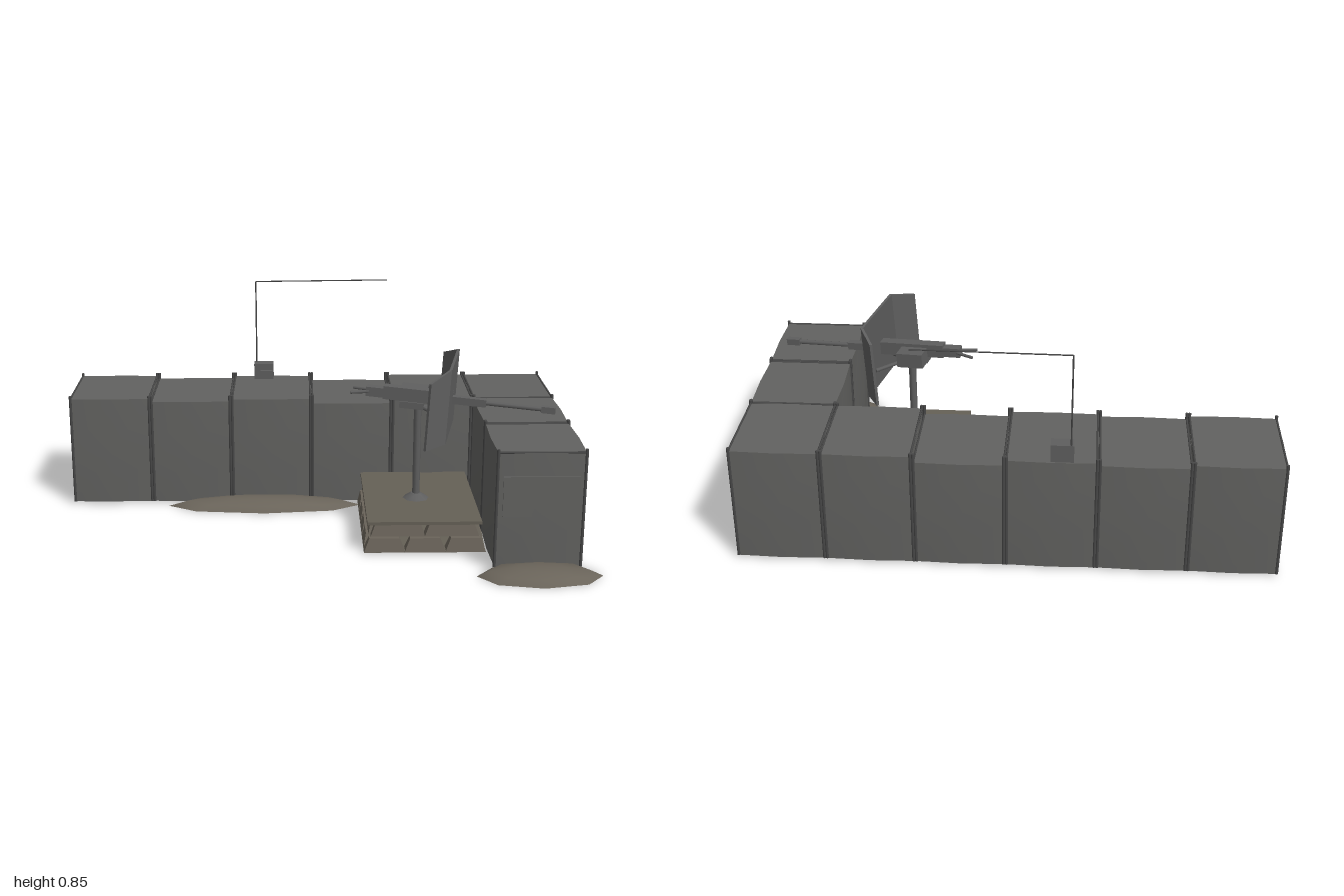
import * as THREE from 'three';
import { toCreasedNormals } from 'three/addons/utils/BufferGeometryUtils.js';

const paint = (color) => new THREE.MeshStandardMaterial({ color, side: THREE.DoubleSide });
const fabric = paint(0x626260);
const earth = paint(0x6a645a);
const timber = paint(0x656056);
const metal = paint(0x5e5e5e);
const wire = paint(0x484848);

function add(parent, name, geometry, mat, x = 0, y = 0, z = 0) {
  const mesh = new THREE.Mesh(geometry, mat);
  mesh.name = name;
  mesh.position.set(x, y, z);
  parent.add(mesh);
  return mesh;
}

const box = (parent, name, mat, w, h, d, x, y, z) => add(parent, name, new THREE.BoxGeometry(w, h, d), mat, x, y, z);

// Round bar between two points
function rod(parent, name, mat, a, b, radius, sides = 6) {
  const from = new THREE.Vector3(...a), to = new THREE.Vector3(...b);
  const dir = to.clone().sub(from);
  const mesh = add(parent, name, new THREE.CylinderGeometry(radius, radius, dir.length(), sides), mat);
  mesh.position.copy(from).addScaledVector(dir, 0.5);
  mesh.quaternion.setFromUnitVectors(new THREE.Vector3(0, 1, 0), dir.normalize());
}

// Wall cell: a box open at the bottom whose four side faces swell in the middle
function bulgedCell(w, h, d) {
  const g = new THREE.BoxGeometry(w, h, d, 2, 2, 2);
  const index = Array.from(g.index.array);
  index.splice(72, 24);
  g.setIndex(index);
  g.clearGroups();
  const p = g.attributes.position;
  for (let i = 0; i < p.count; i++) {
    const x = p.getX(i), y = p.getY(i), z = p.getZ(i);
    const bulge = Math.abs(y) < 0.01 ? 0.019 : 0.005;
    if (Math.abs(z) < 0.01) p.setX(i, x + Math.sign(x) * bulge);
    if (Math.abs(x) < 0.01) p.setZ(i, z + Math.sign(z) * bulge);
  }
  return toCreasedNormals(g, 0.6);
}

// Low heap of spilled earth
function mound(parent, x, z, rx, rz, h) {
  const g = new THREE.LatheGeometry([
    [0, 0], [1, 0], [0.8, 0.58], [0.4, 0.92], [0, 1],
  ].map(([r, y]) => new THREE.Vector2(r, y)), 8);
  g.scale(rx, h, rz);
  add(parent, 'earthMound', toCreasedNormals(g, 1), earth, x, 0, z);
}

// Sandbag: box tapering toward the top
function sandbag(parent, length, x, y, z, turned) {
  const g = new THREE.BoxGeometry(length, 0.052, 0.05);
  const p = g.attributes.position;
  for (let i = 0; i < p.count; i++) {
    if (p.getY(i) > 0) {
      p.setX(i, p.getX(i) - Math.sign(p.getX(i)) * 0.02);
      p.setZ(i, p.getZ(i) * 0.6);
    }
  }
  g.computeVertexNormals();
  add(parent, 'sandbag', g, earth, x, y, z).rotation.y = turned ? Math.PI / 2 : 0;
}

function buildWalls(root) {
  const walls = new THREE.Group();
  walls.name = 'barrierWalls';
  root.add(walls);
  const post = (x, z) => rod(walls, 'cornerPost', wire, [x, 0.01, z], [x, 0.452, z], 0.006);
  const rail = (a, b) => rod(walls, 'topRail', wire, a, b, 0.004);

  // Long back row
  [0.44, 0.428, 0.437, 0.418, 0.44, 0.44].forEach((top, i) => {
    const x = -0.825 + i * 0.32, h = top - 0.01;
    add(walls, 'backCell', bulgedCell(0.31, h, 0.346), fabric, x, 0.01 + h / 2, -0.425);
    for (const s of [-1, 1]) {
      post(x + s * 0.155, -0.596);
      post(x + s * 0.155, -0.252);
      rail([x + s * 0.155, top, -0.596], [x + s * 0.155, top, -0.252]);
    }
  });

  // Short side row
  for (const z of [-0.077, 0.27]) {
    add(walls, 'sideCell', bulgedCell(0.31, 0.43, 0.335), fabric, 0.775, 0.225, z);
    for (const s of [-1, 1]) {
      post(0.62, z + s * 0.167);
      post(0.93, z + s * 0.167);
      rail([0.62, 0.44, z + s * 0.167], [0.93, 0.44, z + s * 0.167]);
    }
  }
  box(walls, 'signPlate', fabric, 0.27, 0.15, 0.006, 0.775, 0.28, 0.45);
}

function buildPlatform(root) {
  const platform = new THREE.Group();
  platform.name = 'gunPlatform';
  root.add(platform);
  box(platform, 'deck', timber, 0.42, 0.012, 0.55, 0.382, 0.124, 0.028);
  box(platform, 'deckBase', timber, 0.43, 0.006, 0.55, 0.385, 0.012, 0.026);
  // Two courses of bags along the front and both sides
  for (const [y, n, span, out] of [[0.036, 3, 0.45, 0], [0.092, 2, 0.4, 0.018]]) {
    for (let i = 0; i < n; i++) {
      sandbag(platform, span / n, 0.385 + ((i + 0.5) / n - 0.5) * span, y, 0.278 - out, false);
    }
    for (let i = 0; i < n + 1; i++) {
      const z = -0.24 + (i + 0.5) * 0.5 / (n + 1);
      for (const s of [-1, 1]) sandbag(platform, 0.5 / (n + 1), 0.385 + s * (0.2 - out), y, z, true);
    }
  }
}

function buildGun(root) {
  const mount = new THREE.Group();
  mount.name = 'mountedGun';
  root.add(mount);
  rod(mount, 'pedestal', metal, [0.37, 0.12, 0.045], [0.37, 0.51, 0.045], 0.014, 8);
  add(mount, 'pedestalFoot', new THREE.CylinderGeometry(0.02, 0.05, 0.02, 8), metal, 0.37, 0.14, 0.045);

  // Weapon is laid out along its own x axis, then aimed
  const gun = new THREE.Group();
  gun.name = 'gun';
  gun.position.set(0.37, 0.535, 0.045);
  gun.rotation.set(0, -0.2, -0.06, 'YZX');
  mount.add(gun);
  box(gun, 'receiver', metal, 0.26, 0.05, 0.04, 0, 0.003, 0);
  box(gun, 'rearBlock', metal, 0.07, 0.036, 0.036, -0.16, 0, 0);
  box(gun, 'cradle', metal, 0.09, 0.025, 0.05, -0.02, -0.035, 0);
  box(gun, 'ammoBox', metal, 0.1, 0.055, 0.065, -0.02, -0.008, -0.06);
  box(gun, 'barrelJacket', metal, 0.13, 0.028, 0.028, 0.19, 0, 0);
  rod(gun, 'barrel', metal, [0.24, 0, 0], [0.47, 0, 0], 0.009, 8);
  box(gun, 'muzzleBrake', metal, 0.052, 0.024, 0.024, 0.484, 0, 0);
  for (const s of [-1, 1]) {
    rod(gun, 'handleArm', metal, [-0.18, 0, s * 0.012], [-0.25, -0.005, s * 0.035], 0.006);
  }
  rod(mount, 'shieldBrace', metal, [0.39, 0.49, 0.04], [0.5, 0.47, -0.02], 0.008);
  rod(mount, 'shieldBrace', metal, [0.39, 0.49, 0.05], [0.47, 0.47, 0.14], 0.008);

  // Shield: folded, slightly leaning plate with lowered outer corners, [x, z, top]
  const folds = [[0.483, -0.168, 0.65], [0.525, -0.09, 0.68], [0.462, 0.218, 0.68], [0.383, 0.298, 0.65]];
  const shield = new THREE.Group();
  shield.name = 'gunShield';
  mount.add(shield);
  for (let i = 0; i < 3; i++) {
    const [x0, z0, t0] = folds[i], [x1, z1, t1] = folds[i + 1];
    const length = Math.hypot(x1 - x0, z1 - z0);
    const outline = new THREE.Shape([[0, 0.4], [length, 0.4], [length, t1], [0, t0]].map(([x, y]) => new THREE.Vector2(x, y)));
    const panel = new THREE.ExtrudeGeometry(outline, { depth: 0.01, bevelEnabled: false });
    panel.translate(0, 0, -0.005);
    panel.rotateY(-Math.atan2(z1 - z0, x1 - x0));
    const p = panel.attributes.position;
    for (let k = 0; k < p.count; k++) p.setX(k, p.getX(k) + (p.getY(k) - 0.54) * 0.06);
    add(shield, 'shieldPanel', panel, metal, x0, 0, z0);
  }
}

function buildAntenna(root) {
  const radio = new THREE.Group();
  radio.name = 'radioAntenna';
  root.add(radio);
  box(radio, 'radioBox', metal, 0.08, 0.065, 0.05, -0.22, 0.47, -0.573);
  box(radio, 'radioFace', metal, 0.05, 0.012, 0.012, -0.21, 0.47, -0.544);
  rod(radio, 'mast', wire, [-0.25, 0.49, -0.594], [-0.25, 0.842, -0.594], 0.003, 5);
  rod(radio, 'aerial', wire, [-0.25, 0.842, -0.594], [0.29, 0.847, -0.594], 0.0025, 5);
}

export function createModel() {
  const root = new THREE.Group();
  root.name = 'gunEmplacement';
  buildWalls(root);
  buildPlatform(root);
  buildGun(root);
  buildAntenna(root);
  mound(root, -0.215, -0.22, 0.385, 0.092, 0.038);
  mound(root, 0.775, 0.5, 0.225, 0.108, 0.036);
  mound(root, 0.685, -0.205, 0.28, 0.105, 0.036);
  return root;
}
